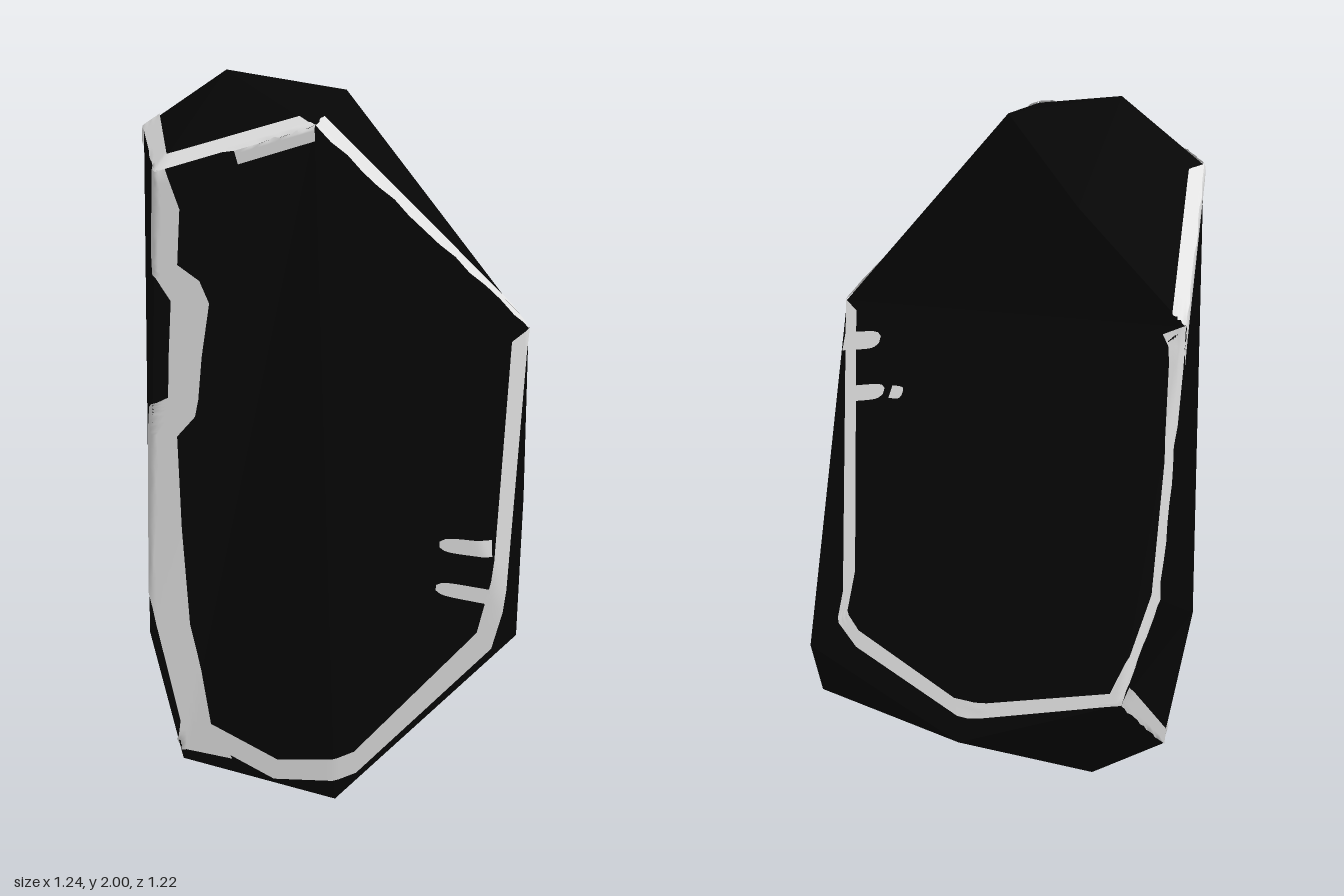
import * as THREE from 'three';

const stoneMat = new THREE.MeshStandardMaterial({ color: 0x060606 });
stoneMat.name = 'black stone';
const edgeMat = new THREE.MeshStandardMaterial({ color: 0xe2e2e2, side: THREE.DoubleSide });
edgeMat.name = 'pale edge';

const V = (x, y, z) => new THREE.Vector3(x, y, z);
const CENTRE = V(0, 1, 0.1);

// Corners of the faceted stone
const crown = V(-0.05, 2, 0.34);
const crownBack = V(0.15, 1.95, 0.11);
const crownRight = V(0.32, 1.93, 0.35);
const ridgeTop = V(0.01, 1.79, 0.61);
const crownLeft = V(-0.25, 1.83, 0.46);
const rearLeft = V(-0.25, 1.77, 0.03);
const leftTop = V(-0.62, 1.52, 0.08);
const leftMid = V(-0.605, 0.8, 0.02);
const leftLow = V(-0.595, 0.53, -0.1);
const rightTop = V(0.6, 1.38, -0.12);
const rightLow = V(0.615, 0.53, -0.09);
const backTip = V(0.08, 0.61, -0.61);
const backUnder = V(0.07, 0.48, -0.58);
const backLeft = V(-0.31, 0.41, -0.41);
const ridgeLow = V(-0.1, 0.48, 0.59);
const ridgeFoot = V(-0.07, 0.08, 0.51);
const footLeft = V(-0.05, 0.05, 0.26);
const footRight = V(0.26, 0, 0.24);

// Facets, each a fan around its first corner
const facets = [
  // crown
  [crown, crownLeft, ridgeTop, crownRight], [crown, crownRight, crownBack],
  [crownRight, rightTop, crownBack], [crown, crownBack, rearLeft, crownLeft],
  [crownLeft, rearLeft, leftTop],
  // front
  [crownRight, ridgeTop, ridgeLow, ridgeFoot, footRight, rightLow, rightTop],
  [ridgeLow, ridgeTop, crownLeft, leftTop, leftMid, leftLow, ridgeFoot],
  // back, folding inward between the upper and lower parts
  [rearLeft, crownBack, rightTop, leftTop], [leftTop, rightTop, backTip, backLeft, leftLow, leftMid],
  [rightTop, rightLow, backTip], [rightLow, backUnder, backTip],
  // underside
  [footLeft, footRight, ridgeFoot, leftLow, backLeft, backUnder, footRight],
  [footRight, backUnder, rightLow], [backLeft, backTip, backUnder],
];

// Triangles of the facets, all facing outward
const triangles = facets.flatMap(([first, ...rest]) => rest.slice(1).map((c, i) => {
  const t = new THREE.Triangle(first, rest[i], c);
  const outward = t.getNormal(V()).dot(first.clone().sub(CENTRE)) > 0;
  return outward ? t : new THREE.Triangle(first, c, rest[i]);
}));

function stoneBody() {
  const g = new THREE.BufferGeometry().setFromPoints(triangles.flatMap(({ a, b, c }) => [a, b, c]));
  g.computeVertexNormals();
  const mesh = new THREE.Mesh(g, stoneMat);
  mesh.name = 'stoneBody';
  return mesh;
}

// Move a point radially onto the stone, lifted slightly off its facet
function onStone(point) {
  const ray = new THREE.Ray(CENTRE, point.clone().sub(CENTRE).normalize());
  for (const t of triangles) {
    const hit = ray.intersectTriangle(t.a, t.b, t.c, false, V());
    if (hit) return hit.addScaledVector(t.getNormal(V()), 0.005);
  }
  return point.clone();
}

// Thin painted surface through rows of points
function patch(name, rows) {
  const columns = rows[0].length;
  const index = [];
  for (let i = 0; i < rows.length - 1; i++) {
    for (let j = 0; j < columns - 1; j++) {
      const a = i * columns + j, b = a + columns;
      index.push(a, b, a + 1, a + 1, b, b + 1);
    }
  }
  const g = new THREE.BufferGeometry().setFromPoints(rows.flat().map(onStone));
  g.setIndex(index);
  g.computeVertexNormals();
  const mesh = new THREE.Mesh(g, edgeMat);
  mesh.name = name;
  return mesh;
}

// Evenly spaced points along a path, with "steps" points per leg
function walk(path, steps) {
  const points = [path[0]];
  for (let k = 0; k < path.length - 1; k++) {
    for (let i = 1; i <= steps; i++) points.push(path[k].clone().lerp(path[k + 1], i / steps));
  }
  return points;
}

// Band along a facet's edge, reaching inward toward a point of that facet
function band(name, path, target, width) {
  const inner = path.map((p) => p.clone().addScaledVector(target.clone().sub(p).normalize(), width));
  const inside = walk(inner, 14);
  return patch(name, walk(path, 14).map((p, i) => walk([p, inside[i]], 8)));
}

// Short run of paint with a blunt, rounded end
function drip(name, from, to, half) {
  const rows = walk([from, to], 10).map((p, i) => {
    const h = half.clone().multiplyScalar(Math.sqrt(1 - (i / 10.2) ** 8));
    return walk([p.clone().add(h), p.clone().sub(h)], 4);
  });
  return patch(name, rows);
}

// Wavering band down the front ridge: height, left x, right x
function ridgeBand() {
  const outline = [
    V(1.8, -0.03, 0.03), V(1.7, -0.035, 0.05), V(1.55, -0.04, 0.035), V(1.51, -0.01, 0.075),
    V(1.45, 0.015, 0.09), V(1.3, 0, 0.065), V(1.18, -0.01, 0.05), V(1.13, -0.08, 0.04),
    V(1.07, -0.1, 0), V(0.8, -0.1, -0.01), V(0.5, -0.085, -0.02), V(0.2, -0.065, 0),
    V(0.11, -0.08, 0.04),
  ];
  const rows = walk(outline, 6).map(({ x: y, y: left, z: right }) => {
    const [low, high] = y > ridgeLow.y ? [ridgeLow, ridgeTop] : [ridgeFoot, ridgeLow];
    const ridge = low.clone().lerp(high, (y - low.y) / (high.y - low.y));
    return walk([V(left, y, 0), V(right, y, 0)], 12)
      .map((p) => p.setZ(ridge.z - 0.87 * Math.abs(p.x - ridge.x)));
  });
  return patch('frontRidgeBand', rows);
}

export function createModel() {
  const group = new THREE.Group();
  group.name = 'facetedStone';
  group.add(stoneBody(), ridgeBand());

  // Crown edges
  group.add(
    band('crownFrontBand', [crownLeft, ridgeTop, crownRight], crown, 0.06),
    band('crownRightBand', [crownRight, rightTop], crownBack, 0.075),
    band('crownLeftBand', [crownLeft, leftTop], rearLeft, 0.055),
  );

  // Front facets, with the paint cutting across the lower right corners
  const rightFacet = V(0.3, 1, 0.3);
  const leftFacet = V(-0.35, 1, 0.33);
  const rightPath = [
    rightTop, V(0.59, 0.47, -0.05), V(0.3, 0.1, 0.2), V(0.13, 0.04, 0.35), V(-0.02, 0.11, 0.49),
  ];
  const leftPath = [
    ridgeTop.clone().lerp(crownLeft, 0.85), crownLeft, leftTop, leftTop.clone().lerp(leftMid, 0.1),
  ];
  group.add(
    band('rightFacetTopBand', [ridgeTop.clone().lerp(crownRight, 0.5), crownRight], rightFacet, 0.035),
    band('rightFacetSideBand', rightPath, rightFacet, 0.064),
    band('leftFacetTopBand', leftPath, leftFacet, 0.045),
    band('leftFacetBottomBand', [leftLow, ridgeFoot], leftFacet, 0.065),
  );

  // Back facet, with the paint rounding the lowest corners
  const backFacet = V(0, 1.2, -0.2);
  const backPath = [
    rightTop, V(0.06, 0.74, -0.53), V(-0.03, 0.62, -0.54), V(-0.29, 0.49, -0.39), leftLow, leftMid,
    leftTop,
  ];
  group.add(band('backBand', backPath, backFacet, 0.065));

  // Drips of paint
  for (const [i, y] of [0.79, 0.65].entries()) {
    group.add(drip(`rightFacetDrip${i + 1}`, V(0.56, y, -0.03), V(0.5, y, 0.07), V(0, 0.023, 0)));
  }
  const slope = V(0, 0.015, 0.02);
  group.add(
    drip('backDripUpper', V(0.52, 1.28, -0.18), V(0.39, 1.31, -0.15), slope),
    drip('backDripLower', V(0.4, 1.17, -0.25), V(0.28, 1.2, -0.22), slope),
    drip('backDripSpot', V(0.25, 1.2, -0.21), V(0.21, 1.21, -0.21), V(0, 0.012, 0.015)),
  );
  return group;
}
